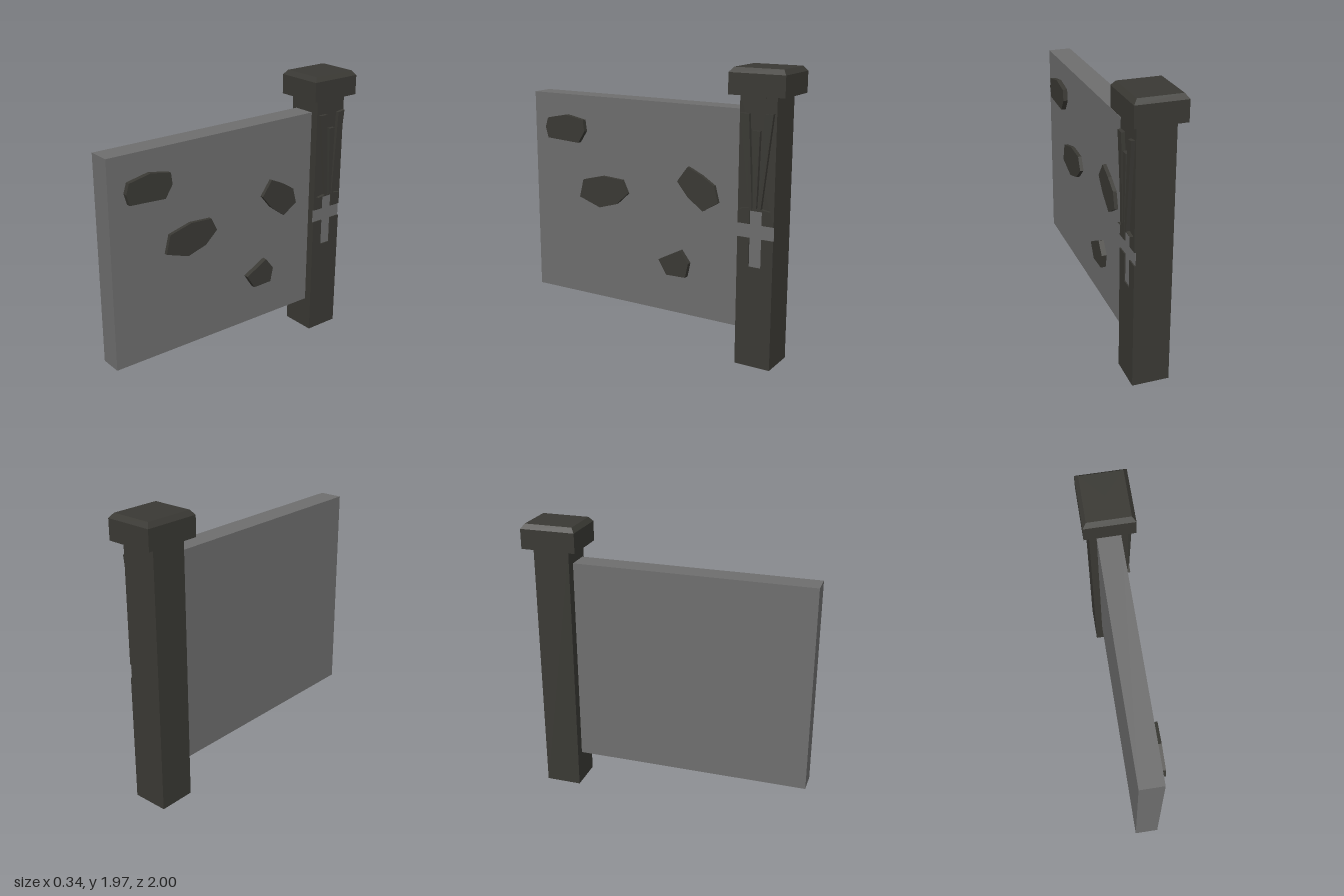
import * as THREE from 'three';

const dark = new THREE.MeshStandardMaterial({ color: 0x3a3934, flatShading: true });
const light = new THREE.MeshStandardMaterial({ color: 0x6e6e6e, flatShading: true });

const POST_Z = -0.804;
const FACE = 0.125; // decorated side of the post

export function createModel() {
  const model = new THREE.Group();

  function add(name, geometry, material) {
    const mesh = new THREE.Mesh(geometry, material);
    mesh.name = name;
    model.add(mesh);
    return mesh;
  }

  // Box given by its extents on each axis
  function box(name, [x0, x1], [y0, y1], [z0, z1], material) {
    const g = new THREE.BoxGeometry(x1 - x0, y1 - y0, z1 - z0);
    g.translate((x0 + x1) / 2, (y0 + y1) / 2, (z0 + z1) / 2);
    return add(name, g, material);
  }

  // Outline of [z, y] points, extruded along x from x0 to x1
  function plate(name, points, x0, x1, material) {
    const shape = new THREE.Shape(points.map(([z, y]) => new THREE.Vector2(-z, y)));
    const g = new THREE.ExtrudeGeometry(shape, { depth: x1 - x0, bevelEnabled: false });
    g.rotateY(Math.PI / 2).translate(x0, 0, 0);
    return add(name, g, material);
  }

  // Wall slab
  box('wall', [-0.081, 0.079], [0.246, 1.706], [-0.668, 1], light);

  // Post core, with facing panels that leave a shallow cross-shaped recess
  const z0 = -0.931, z1 = -0.677, inner = FACE - 0.01;
  const s0 = POST_Z - 0.043, s1 = POST_Z + 0.043;
  box('post', [-0.129, inner], [0, 1.81], [z0, z1], dark);
  plate('postUpperFacing', [[z1, 0.977], [z1, 1.81], [z0, 1.81], [z0, 0.977],
    [s0, 0.977], [s0, 1.066], [s1, 1.066], [s1, 0.977]], inner, FACE, dark);
  plate('postLowerFacing', [[z1, 0], [z1, 0.884], [s1, 0.884], [s1, 0.69],
    [s0, 0.69], [s0, 0.884], [z0, 0.884], [z0, 0]], inner, FACE, dark);
  plate('crossInlay', [[z1, 0.884], [z1, 0.977], [s1, 0.977], [s1, 1.066], [s0, 1.066], [s0, 0.977],
    [z0, 0.977], [z0, 0.884], [s0, 0.884], [s0, 0.69], [s1, 0.69], [s1, 0.884]], inner, inner + 0.002, light);

  // Cap block with a chamfered top
  box('cap', [-0.17, 0.168], [1.802, 1.94], [-1, -0.613], dark);
  const chamfer = new THREE.CylinderGeometry(Math.SQRT1_2, Math.SQRT1_2, 0.032, 4, 1);
  chamfer.rotateY(Math.PI / 4);
  const p = chamfer.attributes.position;
  for (let i = 0; i < p.count; i++) {
    const inset = p.getY(i) > 0 ? 0.05 : 0;
    p.setX(i, p.getX(i) * (0.338 - inset));
    p.setZ(i, p.getZ(i) * (0.387 - inset));
  }
  chamfer.translate(-0.001, 1.956, -0.8065);
  add('capChamfer', chamfer, dark);

  // Fan of tapering blades rising from a thin curved base
  const blades = [
    [[-0.69, 1.69], [-0.752, 1.69], [-0.788, 1.08], [-0.765, 1.08]],
    [[-0.78, 1.585], [-0.83, 1.585], [-0.818, 1.08], [-0.795, 1.08]],
    [[-0.86, 1.69], [-0.918, 1.698], [-0.848, 1.08], [-0.825, 1.08]],
  ];
  blades.forEach((points, i) => plate('blade' + (i + 1), points, FACE - 0.002, 0.15, dark));
  plate('bladeBase', [[-0.70, 1.078], [-0.75, 1.086], [-0.804, 1.09], [-0.86, 1.086], [-0.91, 1.078],
    [-0.86, 1.08], [-0.804, 1.083], [-0.75, 1.08]], FACE - 0.002, 0.148, dark);
  box('neckTrim', [0.11, 0.135], [1.787, 1.805], [-0.86, -0.75], dark);

  // Irregular flat stones set on the wall
  const stones = [
    [0.112, [[0.888, 1.46], [0.866, 1.53], [0.706, 1.562], [0.556, 1.535], [0.545, 1.455], [0.6, 1.37], [0.866, 1.385]]],
    [0.104, [[0.6, 0.978], [0.567, 1.107], [0.4, 1.15], [0.235, 1.14], [0.19, 1.048], [0.283, 0.963], [0.428, 0.92]]],
    [0.104, [[-0.21, 1.187], [-0.29, 1.294], [-0.395, 1.246], [-0.49, 1.187], [-0.52, 1.075], [-0.406, 1.005], [-0.29, 1.09]]],
    [0.115, [[-0.07, 0.62], [-0.24, 0.71], [-0.305, 0.626], [-0.283, 0.524], [-0.134, 0.52]]],
  ];
  stones.forEach(([x, points], i) => plate('stone' + (i + 1), points, 0.075, x, dark));

  return model;
}
